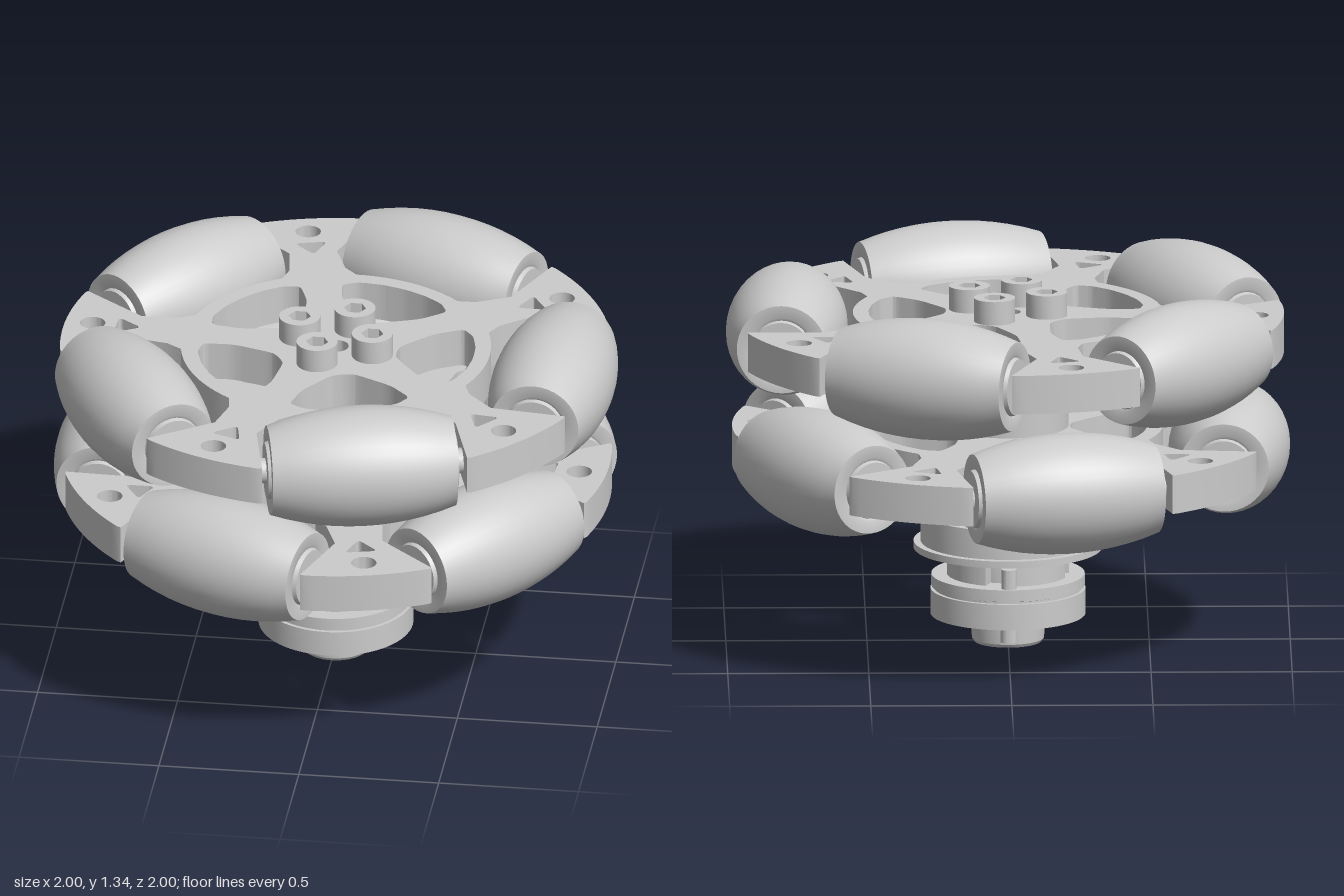
import * as THREE from 'three';
import { toCreasedNormals } from 'three/addons/utils/BufferGeometryUtils.js';

const RAD = Math.PI / 180;
const STEP = 72 * RAD;
const material = new THREE.MeshStandardMaterial({ color: 0xcccccc });
const polar = (r, a) => new THREE.Vector2(r * Math.cos(a), r * Math.sin(a));

function part(name, geometry, x = 0, y = 0, z = 0) {
  const mesh = new THREE.Mesh(toCreasedNormals(geometry, 0.5), material);
  mesh.name = name;
  mesh.position.set(x, y, z);
  return mesh;
}

// Revolved part from [radius, height] pairs, listed bottom to top on the outside
function lathe(profile, segments = 48) {
  return new THREE.LatheGeometry(profile.map(p => new THREE.Vector2(...p)), segments);
}

// Flat shape in x/z, from y = bottom to y = top
function slab(shape, bottom, top, curveSegments = 16) {
  const g = new THREE.ExtrudeGeometry(shape, { depth: top - bottom, bevelEnabled: false, curveSegments });
  return g.rotateX(Math.PI / 2).translate(0, top, 0);
}

function circlePath(x, y, r) {
  return new THREE.Path().absarc(x, y, r, 0, Math.PI * 2, true);
}

// Closed path with corners rounded by a fraction of each side
function roundedPath(points, f = 0.25) {
  const path = new THREE.Path();
  const n = points.length;
  points.forEach((p, i) => {
    const a = p.clone().lerp(points[(i + n - 1) % n], f);
    const b = p.clone().lerp(points[(i + 1) % n], f);
    if (i === 0) path.moveTo(a.x, a.y);
    else path.lineTo(a.x, a.y);
    path.quadraticCurveTo(p.x, p.y, b.x, b.y);
  });
  path.closePath();
  return path;
}

// Five-armed plate: wedge brackets joined by a rim, with spokes to the hub
function plateGeometry() {
  const outline = [];
  const holes = [circlePath(0, 0, 0.045)];
  for (let k = 0; k < 5; k++) {
    const a = k * STEP;
    const at = (x, y) => new THREE.Vector2(x, y).rotateAround(new THREE.Vector2(), a);
    outline.push(at(0.59, -0.1), at(0.72, -0.085), at(0.945, -0.235));
    for (let d = -13; d <= 13; d += 2) outline.push(polar(0.978, a + d * RAD));
    outline.push(at(0.945, 0.235), at(0.72, 0.085), at(0.59, 0.1));
    for (let d = 14; d <= 58; d += 4) outline.push(polar(0.55, a + d * RAD));

    // window between two spokes
    const win = [[0.23, 25], [0.36, 10], [0.47, 9], [0.492, 16], [0.495, 26], [0.495, 36],
      [0.495, 46], [0.492, 56], [0.47, 63], [0.36, 62], [0.23, 47], [0.22, 36]];
    holes.push(roundedPath(win.map(([r, d]) => polar(r, a + d * RAD))));

    // bracket holes, one round and one triangular
    const c = at(0.88, 0);
    holes.push(circlePath(c.x, c.y, 0.045));
    holes.push(roundedPath([at(0.705, 0), at(0.795, 0.058), at(0.795, -0.058)], 0.2));
  }
  const shape = new THREE.Shape(outline);
  shape.holes.push(...holes);
  return slab(shape, -0.07, 0.07);
}

// Barrel roller whose bulge follows the wheel's outer circle, lying along z
function rollerGeometry() {
  const profile = [[0, -0.34], [0.1, -0.34], [0.105, -0.325], [0.115, -0.33]];
  for (let i = 0; i <= 12; i++) {
    const t = -0.33 + 0.055 * i;
    profile.push([Math.sqrt(1 - t * t) - 0.785, t]);
  }
  profile.push([0.115, 0.33], [0.105, 0.325], [0.1, 0.34], [0, 0.34]);
  return lathe(profile, 40).rotateX(Math.PI / 2);
}

function wheelRow(name, y, offset) {
  const row = new THREE.Group();
  row.name = name;
  row.position.y = y;
  const plate = part('plate', plateGeometry());
  plate.rotation.y = -(offset + 36 * RAD);
  row.add(plate);
  const rollerGeo = rollerGeometry();
  const axleGeo = new THREE.CylinderGeometry(0.045, 0.045, 0.78, 20).rotateX(Math.PI / 2);
  for (let k = 0; k < 5; k++) {
    const unit = new THREE.Group();
    unit.name = 'rollerUnit';
    unit.rotation.y = -(offset + k * STEP);
    unit.add(part('roller', rollerGeo, 0.785), part('axle', axleGeo, 0.785));
    row.add(unit);
  }
  return row;
}

export function createModel() {
  const model = new THREE.Group();
  model.name = 'omniWheel';

  model.add(wheelRow('upperWheel', 1.125, 4 * RAD), wheelRow('lowerWheel', 0.715, 40 * RAD));

  // Spacers between the plates and down to the bearing
  model.add(part('upperSpacer', lathe([[0.04, 0.785], [0.215, 0.785], [0.215, 1.055], [0.04, 1.055], [0.04, 0.785]])));
  model.add(part('lowerSpacer', lathe([[0.04, 0.44], [0.18, 0.44], [0.18, 0.645], [0.04, 0.645], [0.04, 0.44]])));

  // Socket-head screws on the top and their ends below the lower plate
  const head = new THREE.Shape().absarc(0, 0, 0.073, 0, Math.PI * 2, false);
  const hex = [];
  for (let i = 0; i < 6; i++) hex.push(polar(0.04, -i * 60 * RAD));
  head.holes.push(new THREE.Path(hex));
  const headGeo = slab(head, 1.195, 1.28);
  const endGeo = new THREE.CylinderGeometry(0.03, 0.03, 0.14, 16);
  for (let k = 0; k < 4; k++) {
    const p = polar(0.145, (20 + 90 * k) * RAD);
    const q = polar(0.175, (20 + 90 * k) * RAD);
    model.add(part('screwHead', headGeo, p.x, 0, p.y), part('screwEnd', endGeo, q.x, 0.58, q.y));
  }

  // Flanged bearing with an open ball groove
  model.add(part('bearing', lathe([[0.08, 0.34], [0.335, 0.34], [0.335, 0.365], [0.31, 0.365], [0.31, 0.47],
    [0.29, 0.47], [0.29, 0.41], [0.235, 0.41], [0.235, 0.47], [0.04, 0.47], [0.04, 0.42], [0.08, 0.34]], 64)));
  const ballGeo = new THREE.SphereGeometry(0.027, 14, 10);
  for (let k = 0; k < 22; k++) {
    const p = polar(0.2625, k / 22 * Math.PI * 2);
    model.add(part('ball', ballGeo, p.x, 0.44, p.y));
  }

  // Neck: a core with four curved posts
  model.add(part('neckCore', lathe([[0.075, 0.23], [0.165, 0.23], [0.165, 0.35], [0.075, 0.35], [0.075, 0.23]])));
  for (let k = 0; k < 4; k++) {
    const a = (102 + 90 * k) * RAD;
    const post = new THREE.Shape();
    post.absarc(0, 0, 0.217, a + 0.18, a + 1.39, false);
    post.absarc(0, 0, 0.15, a + 1.39, a + 0.18, true);
    model.add(part('neckPost', slab(post, 0.24, 0.345)));
  }

  // Mounting discs: a thin groove separates them, small bolt holes in the lower one
  model.add(part('upperDisc', lathe([[0.075, 0.19], [0.262, 0.19], [0.262, 0.2], [0.272, 0.203],
    [0.272, 0.245], [0.075, 0.245], [0.075, 0.19]], 64)));
  const disc = new THREE.Shape().absarc(0, 0, 0.275, 0, Math.PI * 2, false);
  disc.holes.push(circlePath(0, 0, 0.075));
  for (let k = 0; k < 6; k++) {
    const p = polar(0.2, (30 + 60 * k) * RAD);
    disc.holes.push(circlePath(p.x, p.y, 0.025));
  }
  model.add(part('lowerDisc', slab(disc, 0.1, 0.193, 32)));

  // Hollow boss at the foot and the locating pins
  model.add(part('boss', lathe([[0.075, 0.34], [0.075, 0.015], [0.09, 0], [0.12, 0], [0.128, 0.012],
    [0.132, 0.09], [0.14, 0.1]])));
  model.add(part('pin', new THREE.CylinderGeometry(0.03, 0.03, 0.08, 20), 0, 0.082, -0.205));
  model.add(part('upperPin', new THREE.CylinderGeometry(0.027, 0.027, 0.08, 20), 0, 0.275, -0.24));
  return model;
}
